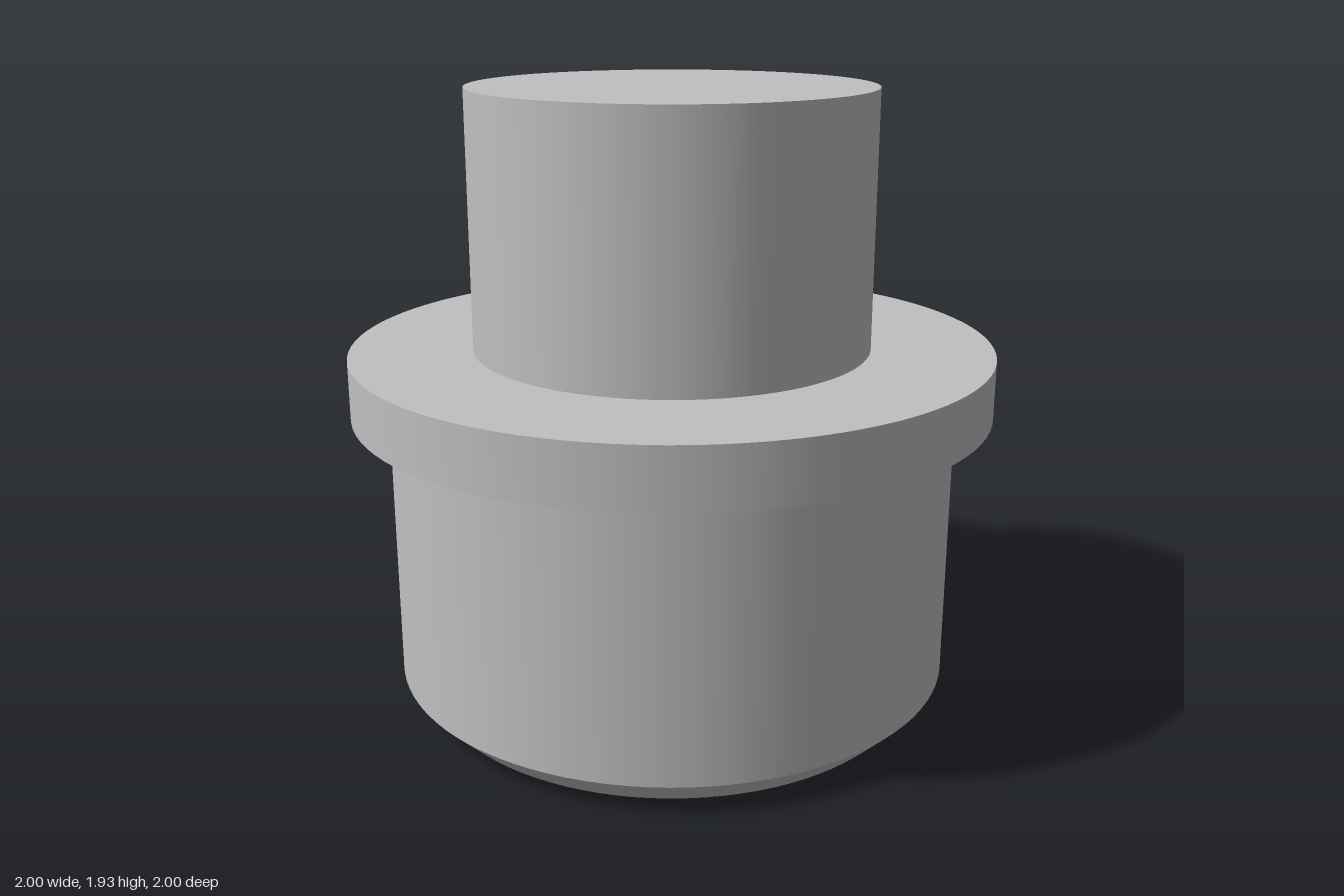
import * as THREE from 'three';

const SEGMENTS = 96;

export function createModel() {
  const model = new THREE.Group();
  model.name = 'steppedPlug';
  const grey = new THREE.MeshStandardMaterial({ color: 0xc0c0c0 });
  grey.name = 'grey';

  // Revolves each straight profile segment separately so the rims stay sharp.
  function turnedPart(name, profile) {
    const part = new THREE.Group();
    part.name = name;
    for (let i = 0; i < profile.length - 1; i++) {
      const points = [profile[i], profile[i + 1]].map(([r, y]) => new THREE.Vector2(r, y));
      const mesh = new THREE.Mesh(new THREE.LatheGeometry(points, SEGMENTS), grey);
      mesh.name = `${name}Surface${i + 1}`;
      part.add(mesh);
    }
    model.add(part);
  }

  // Profiles run from bottom to top as [radius, height].
  turnedPart('body', [[0, 0], [0.79, 0], [0.885, 0.095], [0.885, 0.95]]);
  turnedPart('flange', [[0.885, 0.95], [1, 0.95], [1, 1.135], [0.62, 1.135]]);
  turnedPart('stem', [[0.62, 1.135], [0.62, 1.93], [0, 1.93]]);

  return model;
}
